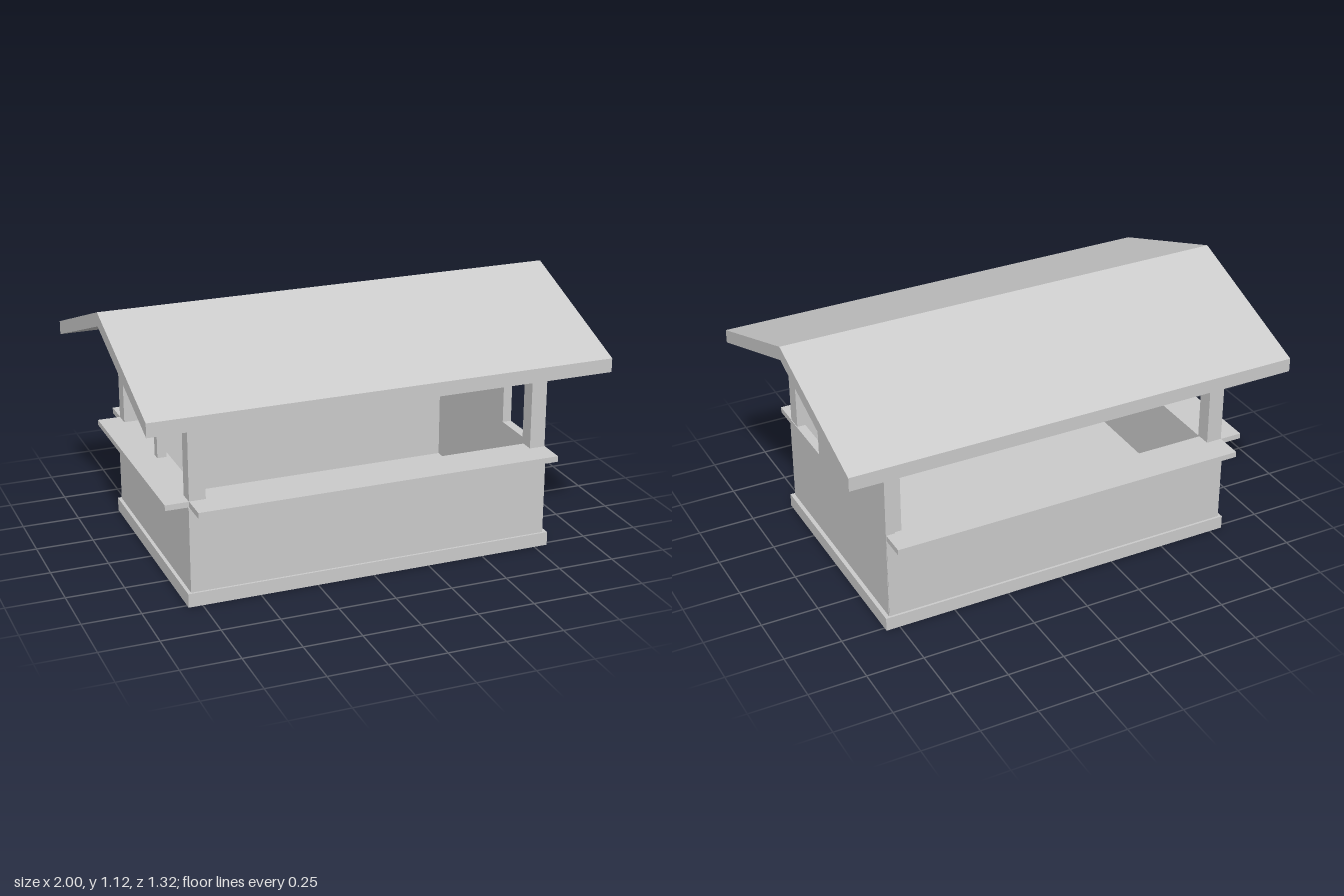
import * as THREE from 'three';

const material = new THREE.MeshStandardMaterial({ color: 0xcccccc, flatShading: true });

export function createModel() {
  const model = new THREE.Group();
  model.name = 'kiosk';

  const add = (name, geometry) => {
    const mesh = new THREE.Mesh(geometry, material);
    mesh.name = name;
    model.add(mesh);
    return mesh;
  };

  // Box given by its two extreme corners
  const box = (name, [x0, y0, z0], [x1, y1, z1]) =>
    add(name, new THREE.BoxGeometry(x1 - x0, y1 - y0, z1 - z0)
      .translate((x0 + x1) / 2, (y0 + y1) / 2, (z0 + z1) / 2));

  // Profile of [z, y] points extruded along x from x0 to x1
  const profile = (name, points, x0, x1) => {
    const shape = new THREE.Shape(points.map(([z, y]) => new THREE.Vector2(-z, y)));
    const geometry = new THREE.ExtrudeGeometry(shape, { depth: x1 - x0, bevelEnabled: false });
    return add(name, geometry.rotateY(Math.PI / 2).translate(x0, 0, 0));
  };

  const sill = 0.455, counterBottom = 0.43;

  // Plinth, which is also the floor
  box('base', [-0.81, 0, -0.52], [0.81, 0.06, 0.52]);

  // Half-height walls and serving counters, front and back
  for (const s of [1, -1]) {
    const side = s > 0 ? 'front' : 'back';
    const span = (a, b) => [Math.min(s * a, s * b), Math.max(s * a, s * b)];
    const [w0, w1] = span(0.47, 0.51);
    box(side + 'Wall', [-0.795, 0.06, w0], [0.79, counterBottom, w1]);
    const [c0, c1] = span(0.44, 0.62);
    box(side + 'Counter', [-0.79, counterBottom, c0], [0.79, sill, c1]);

    // Corner posts
    const [p0, p1] = span(0.43, 0.5);
    box(side + 'LeftPost', [0.72, counterBottom, p0], [0.789, 0.895, p1]);
    box(side + 'RightPost', [-0.79, counterBottom, p0], [-0.72, 0.895, p1]);
  }

  // Open side: half wall, counter and slim middle post
  box('sideWall', [-0.795, 0.06, -0.47], [-0.755, counterBottom, 0.47]);
  box('sideCounter', [-0.89, counterBottom, -0.5], [-0.72, sill - 0.001, 0.5]);
  box('middlePost', [-0.775, sill - 0.01, -0.02], [-0.735, 1.06, 0.02]);

  // Closed gable wall with a window opening beside the front post
  profile('gableWall', [
    [-0.508, 0.06], [-0.508, 0.875], [0, 1.06], [0.5, 0.877], [0.5, 0.82],
    [0.18, 0.82], [0.18, sill], [0.5, sill], [0.508, counterBottom], [0.508, 0.06],
  ], 0.752, 0.792);

  // Pitched roof slab
  profile('roof', [
    [-0.66, 0.815], [-0.66, 0.875], [0, 1.115], [0.66, 0.875], [0.66, 0.815], [0, 1.055],
  ], -1, 1);

  return model;
}
